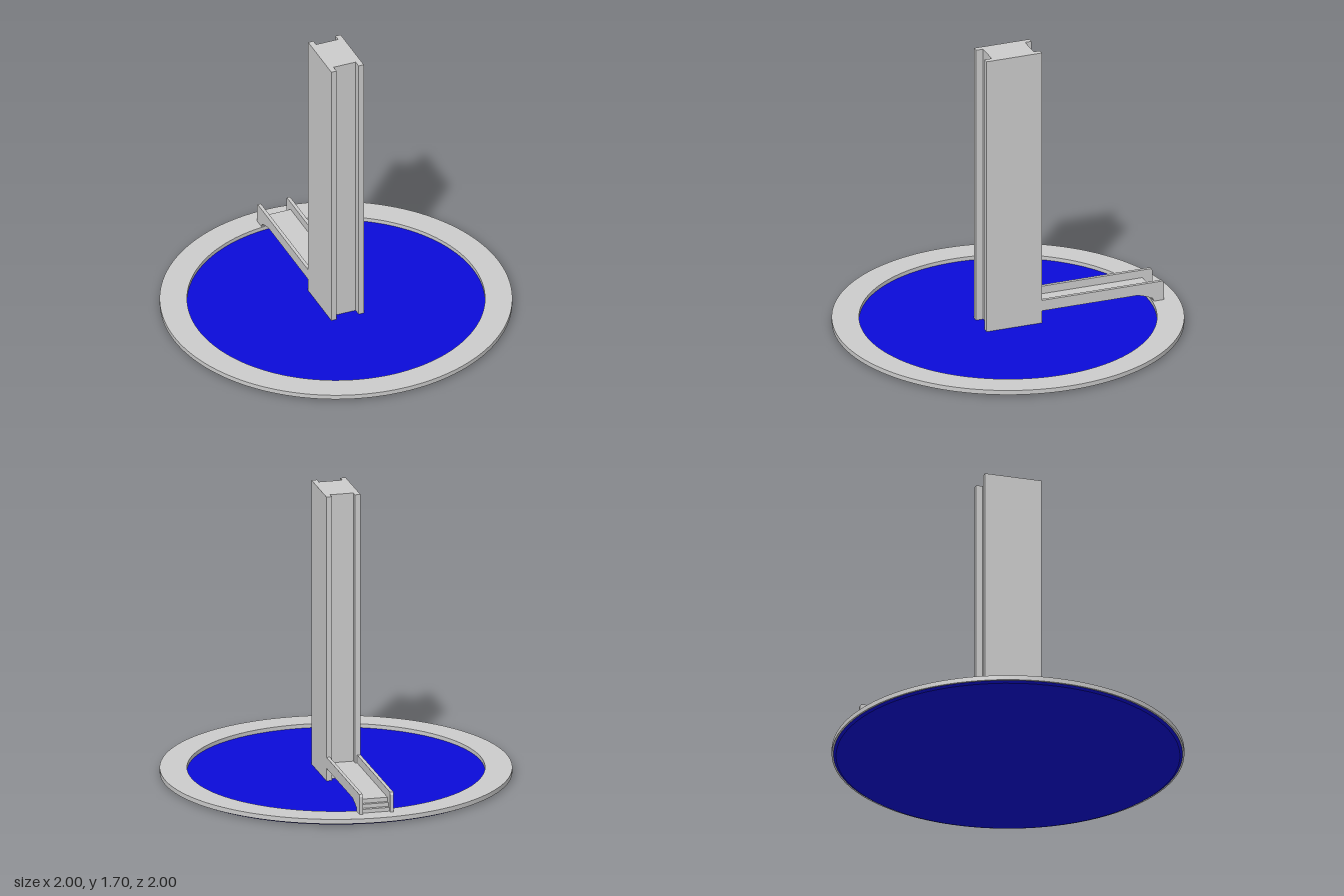
import * as THREE from 'three';

const grey = new THREE.MeshStandardMaterial({ color: 0xcccccc });
const blue = new THREE.MeshStandardMaterial({ color: 0x0a0ad8 });

function add(parent, name, geometry, material = grey) {
  const mesh = new THREE.Mesh(geometry, material);
  mesh.name = name;
  parent.add(mesh);
  return mesh;
}

const shapeOf = (points) => new THREE.Shape(points.map(([a, b]) => new THREE.Vector2(a, b)));

// Side profile given as [distance to the back, height], extruded across x
function sideExtrude(points, x0, x1) {
  return new THREE.ExtrudeGeometry(shapeOf(points), { depth: x1 - x0, bevelEnabled: false })
    .rotateY(Math.PI / 2)
    .translate(x0, 0, 0);
}

export function createModel() {
  const model = new THREE.Group();

  // Round pool: blue floor under a flat grey rim
  add(model, 'water', new THREE.CylinderGeometry(0.995, 0.975, 0.015, 96).translate(0, 0.0075, 0), blue);
  const ring = new THREE.Shape().absarc(0, 0, 1, 0, Math.PI * 2);
  ring.holes.push(new THREE.Path().absarc(0, 0, 0.845, 0, Math.PI * 2, true));
  add(model, 'rim', new THREE.ExtrudeGeometry(ring, { depth: 0.027, bevelEnabled: false, curveSegments: 96 })
    .rotateX(-Math.PI / 2).translate(0, 0.011, 0));

  // Tower: H-shaped plan with a shallow channel front and back
  const plan = shapeOf([
    [-0.1, -0.168], [-0.068, -0.168], [-0.068, -0.125], [0.068, -0.125], [0.068, -0.168], [0.1, -0.168],
    [0.1, 0.168], [0.068, 0.168], [0.068, 0.13], [-0.068, 0.13], [-0.068, 0.168], [-0.1, 0.168],
  ]);
  add(model, 'tower', new THREE.ExtrudeGeometry(plan, { depth: 1.685, bevelEnabled: false })
    .rotateX(-Math.PI / 2).translate(0, 0.015, 0));

  // Walkway from the tower to the rim
  const walkway = new THREE.Group();
  walkway.name = 'walkway';
  model.add(walkway);
  const rail = [
    [0.16, 0.09], [0.75, 0.09], [0.8, 0.075], [0.84, 0.058], [0.848, 0.038],
    [0.91, 0.038], [0.91, 0.14], [0.902, 0.155], [0.16, 0.155],
  ];
  add(walkway, 'rightRail', sideExtrude(rail, -0.1, -0.08));
  add(walkway, 'leftRail', sideExtrude(rail, 0.08, 0.1));

  // Deck ending in small steps down to the rim
  const deck = [
    [0.16, 0.09], [0.75, 0.09], [0.8, 0.075], [0.84, 0.058], [0.848, 0.038], [0.89, 0.038], [0.89, 0.06],
    [0.868, 0.06], [0.868, 0.083], [0.848, 0.083], [0.848, 0.108], [0.16, 0.108],
  ];
  add(walkway, 'deck', sideExtrude(deck, -0.08, 0.08));
  add(walkway, 'threshold', new THREE.BoxGeometry(0.136, 0.018, 0.04).translate(0, 0.099, -0.145));

  return model;
}
